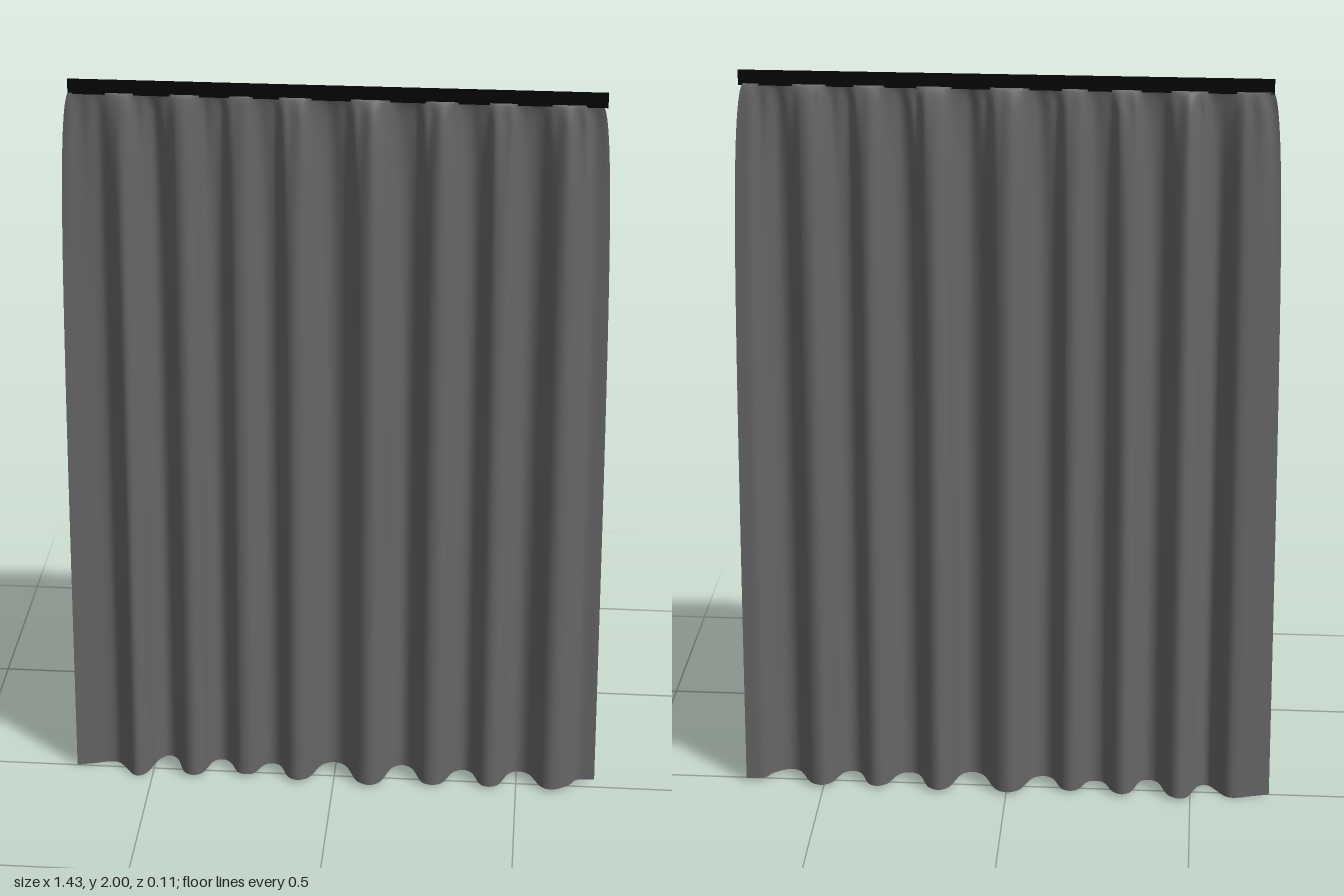
import * as THREE from 'three';

// Fold crests across the hem, from one side edge to the other: [x, z]
const FOLDS = [
  [-0.545, 0.042], [-0.465, -0.055], [-0.385, 0.043], [-0.315, -0.045],
  [-0.24, 0.027], [-0.175, -0.035], [-0.1, 0.045], [-0.005, -0.055],
  [0.1, 0.055], [0.185, -0.055], [0.27, 0.041], [0.355, -0.043],
  [0.425, 0.038], [0.505, -0.048], [0.6, 0.038],
];
const TOP = 1.965;
const HEM = 0.01;
const HALF_HEM = 0.715;

// Smooth hem line with full, rounded folds
function hemCurve() {
  const points = [[-0.715, 0], [-0.67, -0.012], [-0.605, -0.024]];
  FOLDS.forEach(([x, z], i) => {
    points.push([x, z]);
    const next = FOLDS[i + 1];
    if (!next) return;
    const dx = next[0] - x;
    points.push([x + 0.3 * dx, z * 0.75], [x + 0.7 * dx, next[1] * 0.75]);
  });
  points.push([0.645, 0.012], [0.665, -0.016], [0.715, -0.022]);
  return new THREE.CatmullRomCurve3(points.map(([x, z]) => new THREE.Vector3(x, 0, z)));
}

// Cloth sheet: flat and gathered at the rail, opening into full folds below
function clothGeometry(columns = 360, rows = 48) {
  const hem = hemCurve().getSpacedPoints(columns);
  const geometry = new THREE.PlaneGeometry(1, 1, columns, rows);
  const position = geometry.attributes.position;
  for (let r = 0; r <= rows; r++) {
    const drop = (r / rows) ** 2; // rows crowd towards the rail
    const fullness = 1 - Math.exp(-4 * drop ** 0.6);
    const width = (0.66 + 0.035 * fullness + 0.02 * drop) / HALF_HEM;
    const gather = 0.005 * Math.min(1, drop / 0.02) * Math.exp(-9 * drop);
    for (let c = 0; c <= columns; c++) {
      const p = hem[c];
      const s = c / columns;
      const pleat = Math.sin(s * 190) * (0.6 + 0.4 * Math.sin(s * 47 + 1));
      // cloth spacing is even at the rail and follows the folds further down
      position.setXYZ(
        r * (columns + 1) + c,
        THREE.MathUtils.lerp((s * 2 - 1) * HALF_HEM, p.x, fullness) * width,
        TOP + (HEM - TOP) * drop - 0.01 * drop * THREE.MathUtils.smoothstep(-p.x, 0.45, 0.52),
        p.z * fullness + gather * pleat,
      );
    }
  }
  geometry.computeVertexNormals();
  return geometry;
}

export function createModel() {
  const group = new THREE.Group();
  group.name = 'curtain';

  const cloth = new THREE.Mesh(
    clothGeometry(),
    new THREE.MeshStandardMaterial({ color: 0x666666, side: THREE.DoubleSide }),
  );
  cloth.name = 'cloth';

  // Thin flat rail strip along the top
  const rail = new THREE.Mesh(
    new THREE.PlaneGeometry(1.335, 0.04),
    new THREE.MeshStandardMaterial({ color: 0x050505, side: THREE.DoubleSide }),
  );
  rail.name = 'rail';
  rail.position.set(0.005, 1.98, 0);

  group.add(cloth, rail);
  return group;
}
